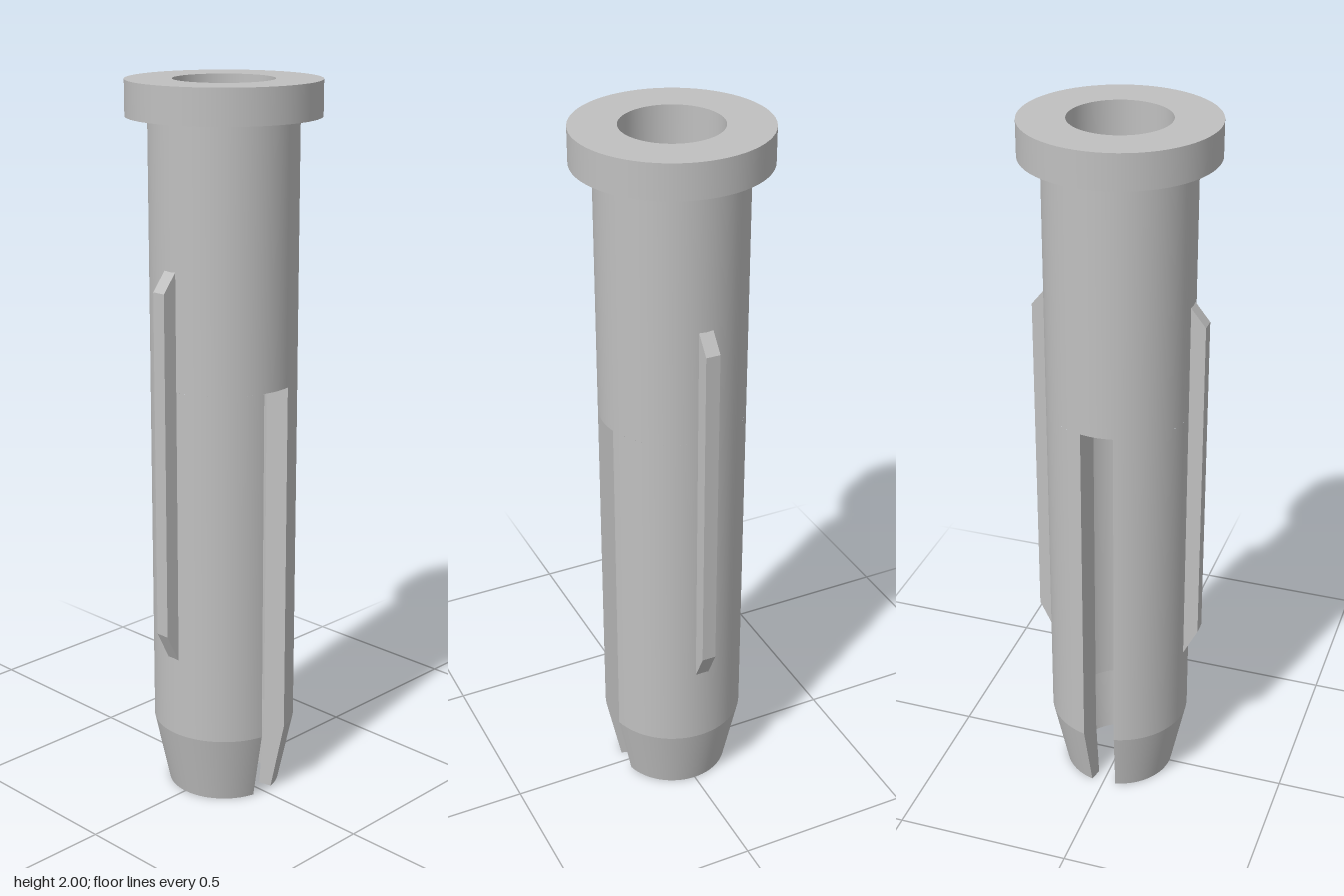
import * as THREE from 'three';
import { mergeGeometries } from 'three/addons/utils/BufferGeometryUtils.js';

const SLOT = 0.23;        // half angle of each slot
const SLOT_TOP = 1.2;
const BORE = 0.135, BODY = 0.2;

// Revolve each straight run of a profile separately, so its corners stay sharp
function revolve(profile, segments, start = 0, length = Math.PI * 2) {
  const bands = [];
  for (let i = 0; i < profile.length - 1; i++) {
    const pair = [profile[i], profile[i + 1]].map(([r, y]) => new THREE.Vector2(r, y));
    bands.push(new THREE.LatheGeometry(pair, segments, start, length));
  }
  return mergeGeometries(bands);
}

// Flat radial wall closing a partial revolve; side is 1 at its start, -1 at its end
function radialWall(profile, phi, side) {
  const shape = new THREE.Shape(profile.map(([r, y]) => new THREE.Vector2(side * r, y)));
  return new THREE.ShapeGeometry(shape).rotateY(phi - side * Math.PI / 2);
}

export function createModel() {
  const model = new THREE.Group();
  model.name = 'wallPlug';
  const plastic = new THREE.MeshStandardMaterial({ color: 0xc0c0c0 });
  plastic.name = 'greyPlastic';

  const add = (geometry, name, parent = model) => {
    const mesh = new THREE.Mesh(geometry, plastic);
    mesh.name = name;
    parent.add(mesh);
  };

  // Sleeve with its flanged head and through bore
  add(revolve([
    [BODY, SLOT_TOP], [BODY, 1.905], [0.259, 1.905],
    [0.259, 2], [BORE, 2], [BORE, SLOT_TOP],
  ], 64), 'flangedSleeve');

  // Two tapered legs separated by the slots, each with a ridge
  const legProfile = [
    [BORE, SLOT_TOP], [BORE, 0.2], [0.12, 0], [0.158, 0], [BODY, 0.2], [BODY, SLOT_TOP],
  ];
  const ridgeShape = new THREE.Shape([
    [0.19, 0.41], [0.2, 0.43], [0.24, 0.51], [0.24, 1.47], [0.2, 1.52], [0.19, 1.532],
  ].map(([z, y]) => new THREE.Vector2(z, y)));

  ['front', 'back'].forEach((side, i) => {
    const half = new THREE.Group();
    half.name = side + 'Half';
    half.rotation.y = i * Math.PI;
    model.add(half);

    const end = Math.PI / 2 - SLOT;
    add(revolve(legProfile, 32, -end, 2 * end), side + 'Leg', half);
    add(radialWall(legProfile, -end, 1), side + 'LegRightWall', half);
    add(radialWall(legProfile, end, -1), side + 'LegLeftWall', half);

    const ridge = new THREE.ExtrudeGeometry(ridgeShape, { depth: 0.04, bevelEnabled: false });
    ridge.translate(0, 0, -0.02).rotateY(-Math.PI / 2);
    add(ridge, side + 'Ridge', half);

    // Downward face at the top of one slot
    const roof = new THREE.RingGeometry(BORE, BODY, 6, 1, -SLOT, 2 * SLOT);
    roof.rotateX(Math.PI / 2).translate(0, SLOT_TOP, 0);
    add(roof, 'slotRoof', half);
  });

  return model;
}
